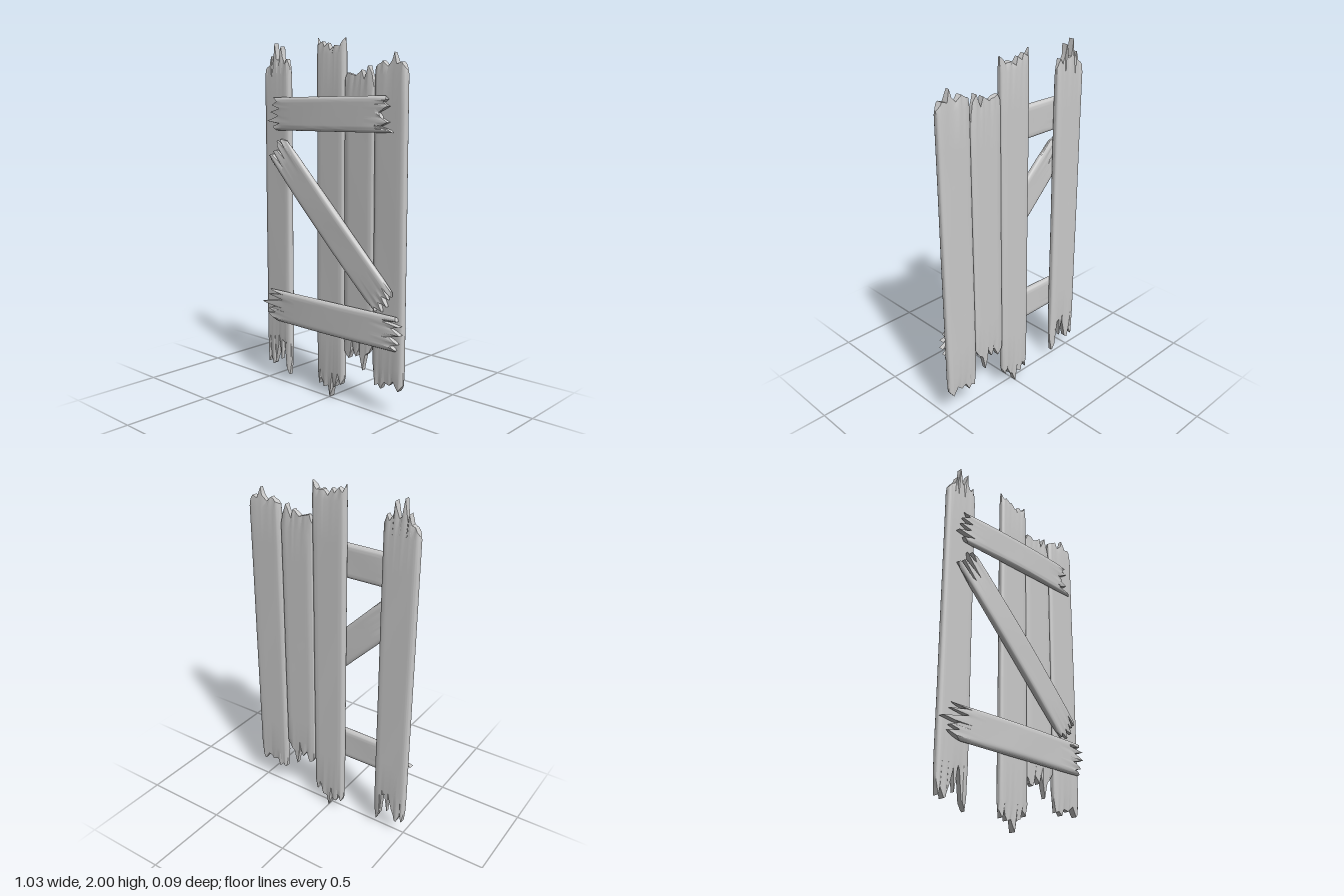
import * as THREE from 'three';
import { toCreasedNormals } from 'three/addons/utils/BufferGeometryUtils.js';

const material = new THREE.MeshStandardMaterial({ color: 0xcccccc });

// Linear lookup in a profile of [across, along] points
function sample(profile, u) {
  for (let i = 1; i < profile.length; i++) {
    const [u0, v0] = profile[i - 1], [u1, v1] = profile[i];
    if (u <= u1 + 1e-6) return v0 + (v1 - v0) * (u - u0) / (u1 - u0);
  }
  return profile[profile.length - 1][1];
}

// A board running along y with rounded long edges and two splintered ends.
// bow pulls the front face in toward the ends.
function boardGeometry(lower, upper, thickness, bow = 0, phase = 0) {
  const u0 = lower[0][0], u1 = lower[lower.length - 1][0];
  const mid = (u0 + u1) / 2, half = (u1 - u0) / 2;

  // columns: every splinter point plus a few for the rounded edges
  const wanted = [...lower, ...upper].map(p => p[0]);
  for (const s of [0.8, 0.9, 0.96, 1]) wanted.push(mid - half * s, mid + half * s);
  const cols = wanted.sort((a, b) => a - b).filter((u, i, all) => i === 0 || u - all[i - 1] > 0.0012);
  const n = cols.length, ring = 2 * n;

  const lo = Math.max(...lower.map(p => p[1])) + 0.02;
  const hi = Math.min(...upper.map(p => p[1])) - 0.02;
  const steps = 8, rows = steps + 3;
  const positions = [], index = [];

  for (let r = 0; r < rows; r++) {
    const tip = r === 0 || r === rows - 1;
    const t = THREE.MathUtils.clamp((r - 1) / steps, 0, 1);
    for (let k = 0; k < ring; k++) {
      const front = k < n;
      const u = cols[front ? k : ring - 1 - k];
      const v = r === 0 ? sample(lower, u) : r === rows - 1 ? sample(upper, u) : lo + (hi - lo) * t;
      const s = Math.abs(u - mid) / half;
      const e = Math.min(1, Math.max(0, (s - 0.72) / 0.28));
      let h = thickness / 2 * (0.35 + 0.65 * Math.sqrt(1 - e * e));
      if (tip) h *= 0.68 + 0.2 * Math.sin(u * 160 + phase);
      else h *= 0.97 + 0.03 * Math.sin(t * 11 + u * 20 + phase);
      const z = front ? h - bow * (2 * t - 1) ** 2 : -h;
      positions.push(u, v, z);
    }
  }
  const quad = (a, b, c, d) => index.push(a, b, c, a, c, d);
  for (let r = 0; r < rows - 1; r++) {
    for (let k = 0; k < ring; k++) {
      const j = (k + 1) % ring;
      quad(r * ring + k, r * ring + j, (r + 1) * ring + j, (r + 1) * ring + k);
    }
  }
  // splintered end faces
  const top = (rows - 1) * ring;
  for (let i = 0; i < n - 1; i++) {
    const f = i, g = i + 1, bg = ring - 2 - i, bf = ring - 1 - i;
    quad(top + f, top + g, top + bg, top + bf);
    quad(bf, bg, g, f);
  }
  const geometry = new THREE.BufferGeometry();
  geometry.setAttribute('position', new THREE.Float32BufferAttribute(positions, 3));
  geometry.setIndex(index);
  return toCreasedNormals(geometry, 0.6);
}

export function createModel() {
  const model = new THREE.Group();

  const addBoard = (name, lower, upper, { x = 0, y = 0, z, turn = 0, thickness = 0.044, bow = 0 }) => {
    const geometry = boardGeometry(lower, upper, thickness, bow, model.children.length * 1.7);
    const mesh = new THREE.Mesh(geometry, material);
    mesh.name = name;
    mesh.position.set(x, y, z);
    mesh.rotation.z = turn;
    model.add(mesh);
  };

  // Upright planks, profiles given as [x, y]
  addBoard('outerRightPlank',
    [[-.515, .2], [-.5, .1], [-.485, .14], [-.465, .09], [-.45, .1], [-.43, .17], [-.41, .25],
      [-.4, .13], [-.385, .26], [-.37, .24], [-.355, .1], [-.33, .05], [-.315, .14]],
    [[-.515, 1.82], [-.49, 1.86], [-.47, 1.87], [-.455, 1.92], [-.445, 1.88], [-.43, 1.99], [-.415, 1.9],
      [-.4, 1.89], [-.378, 1.97], [-.37, 1.91], [-.35, 1.87], [-.335, 1.9], [-.315, 1.85]],
    { z: -0.02 });
  addBoard('middlePlank',
    [[-.1, .1], [-.085, .06], [-.07, .1], [-.05, .05], [-.02, .06], [0, 0], [.02, .06], [.04, .07],
      [.06, .12], [.08, .09], [.1, .13]],
    [[-.1, 2], [-.085, 1.96], [-.06, 1.98], [-.04, 1.95], [-.02, 1.97], [0, 1.93], [.03, 1.955],
      [.07, 1.95], [.09, 1.98], [.1, 1.99]],
    { z: -0.02 });
  addBoard('shortPlank',
    [[.1, .31], [.12, .27], [.14, .26], [.165, .32], [.19, .28], [.21, .33], [.235, .21], [.255, .3],
      [.28, .32], [.303, .36]],
    [[.1, 1.76], [.12, 1.81], [.15, 1.8], [.18, 1.79], [.22, 1.82], [.235, 1.77], [.265, 1.84],
      [.285, 1.8], [.303, 1.72]],
    { z: -0.02, thickness: 0.038 });
  addBoard('outerLeftPlank',
    [[.306, .25], [.32, .15], [.345, .16], [.365, .14], [.385, .18], [.42, .17], [.45, .2], [.48, .15],
      [.508, .19]],
    [[.306, 1.83], [.33, 1.84], [.36, 1.86], [.39, 1.83], [.42, 1.86], [.43, 1.9], [.45, 1.84],
      [.48, 1.85], [.508, 1.81]],
    { z: -0.02 });

  // Cross boards, profiles given as [down from centre line, along]
  const bar = { z: 0.022, turn: -Math.PI / 2, bow: 0.008 };
  addBoard('upperCrossBoard',
    [[-.093, -.42], [-.07, -.38], [-.05, -.43], [-.03, -.36], [-.01, -.44], [.01, -.37], [.04, -.46],
      [.055, -.37], [.07, -.42], [.093, -.39]],
    [[-.093, .4], [-.075, .41], [-.06, .39], [-.04, .42], [-.01, .36], [.02, .38], [.04, .42],
      [.06, .37], [.08, .43], [.093, .45]],
    { ...bar, y: 1.593 });
  addBoard('lowerCrossBoard',
    [[-.093, -.46], [-.075, -.37], [-.06, -.47], [-.045, -.35], [-.03, -.42], [-.01, -.52], [.005, -.41],
      [.025, -.47], [.04, -.41], [.055, -.48], [.075, -.43], [.093, -.4]],
    [[-.093, .48], [-.07, .49], [-.06, .42], [-.045, .51], [-.03, .45], [0, .515], [.02, .44], [.05, .5],
      [.065, .45], [.085, .485], [.093, .48]],
    { ...bar, y: 0.467 });
  addBoard('diagonalBrace',
    [[-.086, -.52], [-.06, -.56], [-.045, -.5], [-.03, -.575], [-.015, -.54], [-.005, -.45], [.01, -.54],
      [.03, -.55], [.04, -.44], [.055, -.55], [.075, -.56], [.086, -.53]],
    [[-.086, .55], [-.065, .57], [-.055, .5], [-.04, .57], [-.02, .53], [-.005, .59], [.02, .54],
      [.04, .59], [.06, .54], [.075, .56], [.086, .51]],
    { ...bar, y: 1.015, turn: THREE.MathUtils.degToRad(-134.6) });

  return model;
}
